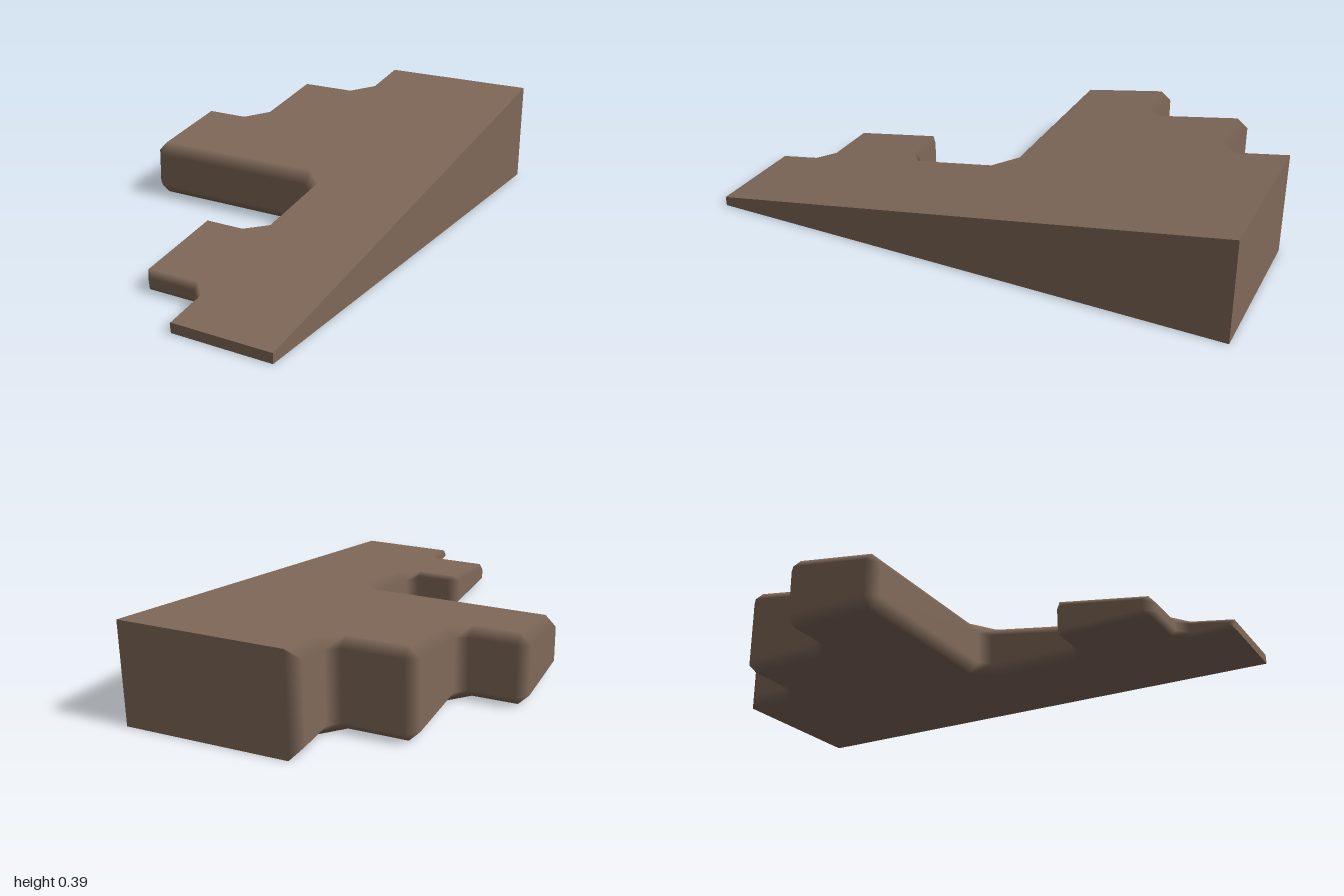
import * as THREE from 'three';

const RIGHT = 0.6, CHAMFER = 0.04;
const height = z => 0.212 - 0.176 * z;
const UP = new THREE.Vector3(0, 1, 0.176).normalize();
const DOWN = new THREE.Vector3(0, -1, 0);

// stepped edge in plan, front to back: x, z, bevel of the wall that follows
const STEPS = [
  [0.21, 1, 0.015], [0.21, 0.8, 0.02], [-0.05, 0.8, 0.02], [-0.05, 0.42, 0.02],
  [0.16, 0.42, 0.04], [0.16, 0.015, 0.04], [-0.6, 0.015, 0.04], [-0.6, -0.38, 0.04],
  [-0.35, -0.38, 0.04], [-0.35, -0.77, 0.04], [-0.05, -0.77, 0.04], [-0.05, -1, 0.04],
];

// walls with their direction, outward normal and bevel
const walls = STEPS.slice(0, -1).map(([x, z, bevel], i) => {
  const p = new THREE.Vector2(x, z);
  const dir = new THREE.Vector2(STEPS[i + 1][0], STEPS[i + 1][1]).sub(p).normalize();
  return { p, dir, out: new THREE.Vector2(dir.y, -dir.x), bevel };
});

// one column: where the wall stands and where its bevel meets top and bottom
function column(outer, inner, wall) {
  const b = wall.bevel, n = new THREE.Vector3(wall.out.x, 0, wall.out.y);
  const at = (q, y, normal) => ({ pos: new THREE.Vector3(q.x, y, q.y), normal });
  return [
    at(inner, height(inner.y), UP), at(outer, height(outer.y) - b, n),
    at(outer, b, n), at(inner, 0, DOWN),
  ];
}

// end column: the bevel runs out into the flat front or back face
function endColumn(q, side) {
  const n = new THREE.Vector3(0, 0, side);
  const top = new THREE.Vector3(q.x, height(q.y), q.y), low = new THREE.Vector3(q.x, 0, q.y);
  return [{ pos: top, normal: UP }, { pos: top, normal: n }, { pos: low, normal: n }, { pos: low, normal: DOWN }];
}

function buildColumns() {
  const first = walls[0], last = walls[walls.length - 1];
  const start = new THREE.Vector2(first.p.x + first.bevel, 1);
  const end = new THREE.Vector2(STEPS[STEPS.length - 1][0] + last.bevel, -1);
  const cols = [endColumn(start, 1)];
  cols.push(column(new THREE.Vector2(first.p.x, 1 - first.bevel), start, first));
  for (let i = 1; i < walls.length; i++) {
    const a = walls[i - 1], b = walls[i], p = b.p;
    const convex = a.dir.cross(b.dir) > 0;
    const q = p.clone().addScaledVector(a.out, -a.bevel).addScaledVector(b.out, -b.bevel);
    const back = convex ? 0 : CHAMFER + b.bevel, ahead = convex ? 0 : CHAMFER + a.bevel;
    cols.push(column(p.clone().addScaledVector(a.dir, -CHAMFER), q.clone().addScaledVector(a.dir, -back), a));
    cols.push(column(p.clone().addScaledVector(b.dir, CHAMFER), q.clone().addScaledVector(b.dir, ahead), b));
  }
  cols.push(column(new THREE.Vector2(end.x - last.bevel, -1 + last.bevel), end, last), endColumn(end, -1));
  return cols;
}

function wedgeGeometry() {
  const positions = [], normals = [];
  // adds a triangle, turned so that it faces along its normals
  const tri = (a, b, c) => {
    const face = b.pos.clone().sub(a.pos).cross(c.pos.clone().sub(a.pos));
    if (face.length() < 1e-9) return;
    const facing = a.normal.clone().add(b.normal).add(c.normal);
    const order = face.dot(facing) < 0 ? [a, c, b] : [a, b, c];
    for (const v of order) {
      positions.push(...v.pos.toArray());
      normals.push(...v.normal.toArray());
    }
  };
  const polygon = (points, normal, flat) => {
    const v = points.map(pos => ({ pos, normal }));
    for (const [a, b, c] of THREE.ShapeUtils.triangulateShape(points.map(flat), [])) tri(v[a], v[b], v[c]);
  };

  // stepped walls with bevels
  const cols = buildColumns();
  for (let i = 0; i + 1 < cols.length; i++) {
    for (let j = 0; j < 3; j++) {
      const a = cols[i], b = cols[i + 1];
      tri(a[j], b[j], b[j + 1]);
      tri(a[j], b[j + 1], a[j + 1]);
    }
  }

  // sloped top and flat bottom
  const plan = p => new THREE.Vector2(p.x, p.z);
  const rim = j => cols.map(c => c[j].pos).filter((p, i, all) => i === 0 || p.distanceTo(all[i - 1]) > 1e-6);
  const corner = (z, top) => new THREE.Vector3(RIGHT, top ? height(z) : 0, z);
  polygon([...rim(0), corner(-1, true), corner(1, true)], UP, plan);
  polygon([...rim(3), corner(-1, false), corner(1, false)], DOWN, plan);

  // straight side, front and back faces
  polygon([corner(1, false), corner(-1, false), corner(-1, true), corner(1, true)],
    new THREE.Vector3(1, 0, 0), p => new THREE.Vector2(p.z, p.y));
  for (const [z, col] of [[1, cols[0]], [-1, cols[cols.length - 1]]]) {
    polygon([col[3].pos, corner(z, false), corner(z, true), col[0].pos],
      new THREE.Vector3(0, 0, z), p => new THREE.Vector2(p.x, p.y));
  }

  const geometry = new THREE.BufferGeometry();
  geometry.setAttribute('position', new THREE.Float32BufferAttribute(positions, 3));
  geometry.setAttribute('normal', new THREE.Float32BufferAttribute(normals, 3));
  return geometry;
}

export function createModel() {
  const brown = new THREE.MeshStandardMaterial({ color: 0x806959 });
  brown.name = 'brown';
  const ramp = new THREE.Mesh(wedgeGeometry(), brown);
  ramp.name = 'steppedRamp';
  const group = new THREE.Group();
  group.name = 'ramp';
  group.add(ramp);
  return group;
}
